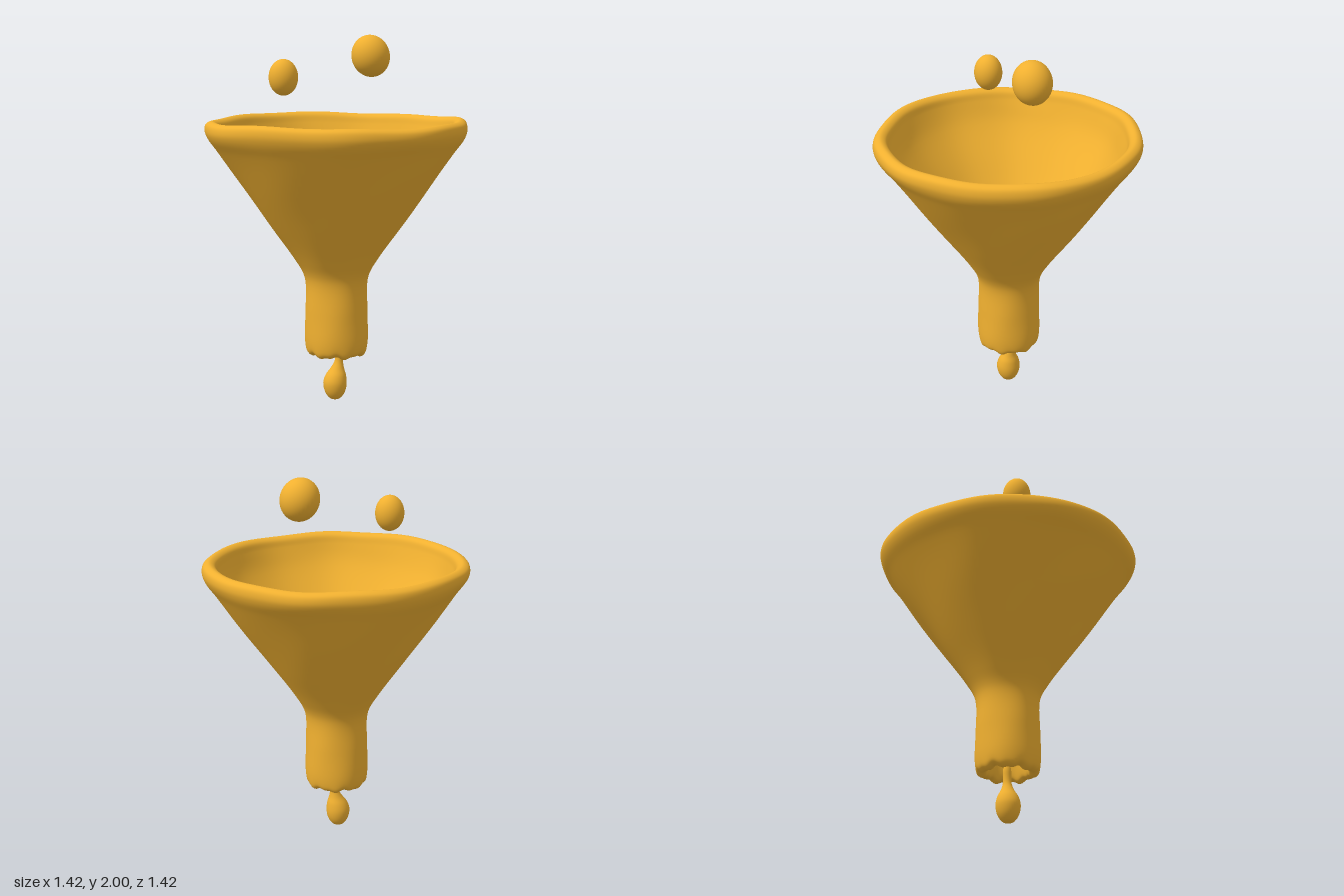
import * as THREE from 'three';
import { mergeVertices } from 'three/addons/utils/BufferGeometryUtils.js';

const material = new THREE.MeshStandardMaterial({ color: 0xf0b030 });

// Smooth curve through [radius, height] pairs, resampled for a lathe.
function profile(pairs, count, closed) {
  const curve = new THREE.CatmullRomCurve3(pairs.map(([r, y]) => new THREE.Vector3(r, y, 0)), closed, 'centripetal');
  return curve.getPoints(count).map((p) => new THREE.Vector2(Math.max(p.x, 0), p.y));
}

// Turn a profile, move its vertices by a rule and weld the seam.
function turned(points, segments, rule) {
  let geometry = new THREE.LatheGeometry(points, segments);
  const pos = geometry.attributes.position;
  const v = new THREE.Vector3();
  for (let i = 0; i < pos.count; i++) {
    rule(v.fromBufferAttribute(pos, i));
    pos.setXYZ(i, v.x, v.y, v.z);
  }
  geometry.deleteAttribute('uv');
  geometry.deleteAttribute('normal');
  geometry = mergeVertices(geometry, 1e-5);
  geometry.computeVertexNormals();
  return geometry;
}

function addMesh(group, name, geometry) {
  const mesh = new THREE.Mesh(geometry, material);
  mesh.name = name;
  group.add(mesh);
  return mesh;
}

// Hand-shaped unevenness of the funnel wall, rim and spout edge.
function handShaped(v) {
  const a = Math.atan2(v.z, v.x);
  const upper = THREE.MathUtils.smoothstep(v.y, 0.7, 1.5);
  const rim = THREE.MathUtils.smoothstep(v.y, 1.42, 1.54);
  const lower = 1 - THREE.MathUtils.smoothstep(v.y, 0.27, 0.36);
  const wave = 0.008 * Math.cos(4 * a) + 0.004 * Math.sin(7 * a + 1) + 0.003 * Math.sin(11 * a);
  const dent = 0.008 * Math.sin(9 * v.y + 2 * a) * Math.sin(3 * a + 4 * v.y) * (1 - rim);
  const scale = 1 + upper * wave + dent;
  v.x *= scale;
  v.z *= scale;
  v.y += rim * (0.005 * Math.sin(3 * a + 0.5) + 0.003 * Math.sin(8 * a));
  v.y += lower * (0.006 * Math.sin(7 * a) + 0.004 * Math.sin(13 * a + 2));
}

export function createModel() {
  const group = new THREE.Group();

  // Funnel: outer wall up, rounded rim, inner wall down, spout edge
  const wall = profile([
    [0.135, 0.27], [0.16, 0.285], [0.171, 0.33], [0.17, 0.5], [0.168, 0.66], [0.182, 0.72],
    [0.235, 0.81], [0.37, 1.0], [0.51, 1.2], [0.64, 1.39], [0.69, 1.46], [0.703, 1.5],
    [0.695, 1.535], [0.665, 1.55], [0.635, 1.535], [0.618, 1.49], [0.57, 1.38], [0.43, 1.18],
    [0.29, 0.98], [0.165, 0.8], [0.115, 0.71], [0.103, 0.62], [0.102, 0.45], [0.106, 0.3], [0.115, 0.278],
  ], 140, true);
  addMesh(group, 'funnel', turned(wall, 120, handShaped));

  // Drip: a drop hanging from a slightly bent thread
  const drip = profile([
    [0, 0.005], [0.03, 0.016], [0.055, 0.05], [0.065, 0.1], [0.056, 0.145],
    [0.036, 0.185], [0.024, 0.22], [0.022, 0.26], [0.021, 0.3], [0.015, 0.32], [0, 0.325],
  ], 50, false);
  addMesh(group, 'drip', turned(drip, 36, (v) => {
    v.x += -0.009 + 0.026 * THREE.MathUtils.smoothstep(v.y, 0.1, 0.26);
  }));

  // Two drops floating above the rim
  const drops = [
    ['smallDrop', [-0.295, 1.78, -0.01], [0.078, 0.096, 0.075], 0],
    ['largeDrop', [0.211, 1.888, -0.035], [0.104, 0.114, 0.102], 0.3],
  ];
  for (const [name, centre, radii, tilt] of drops) {
    const drop = addMesh(group, name, new THREE.SphereGeometry(1, 40, 28));
    drop.position.set(...centre);
    drop.scale.set(...radii);
    drop.rotation.z = tilt;
  }
  return group;
}
